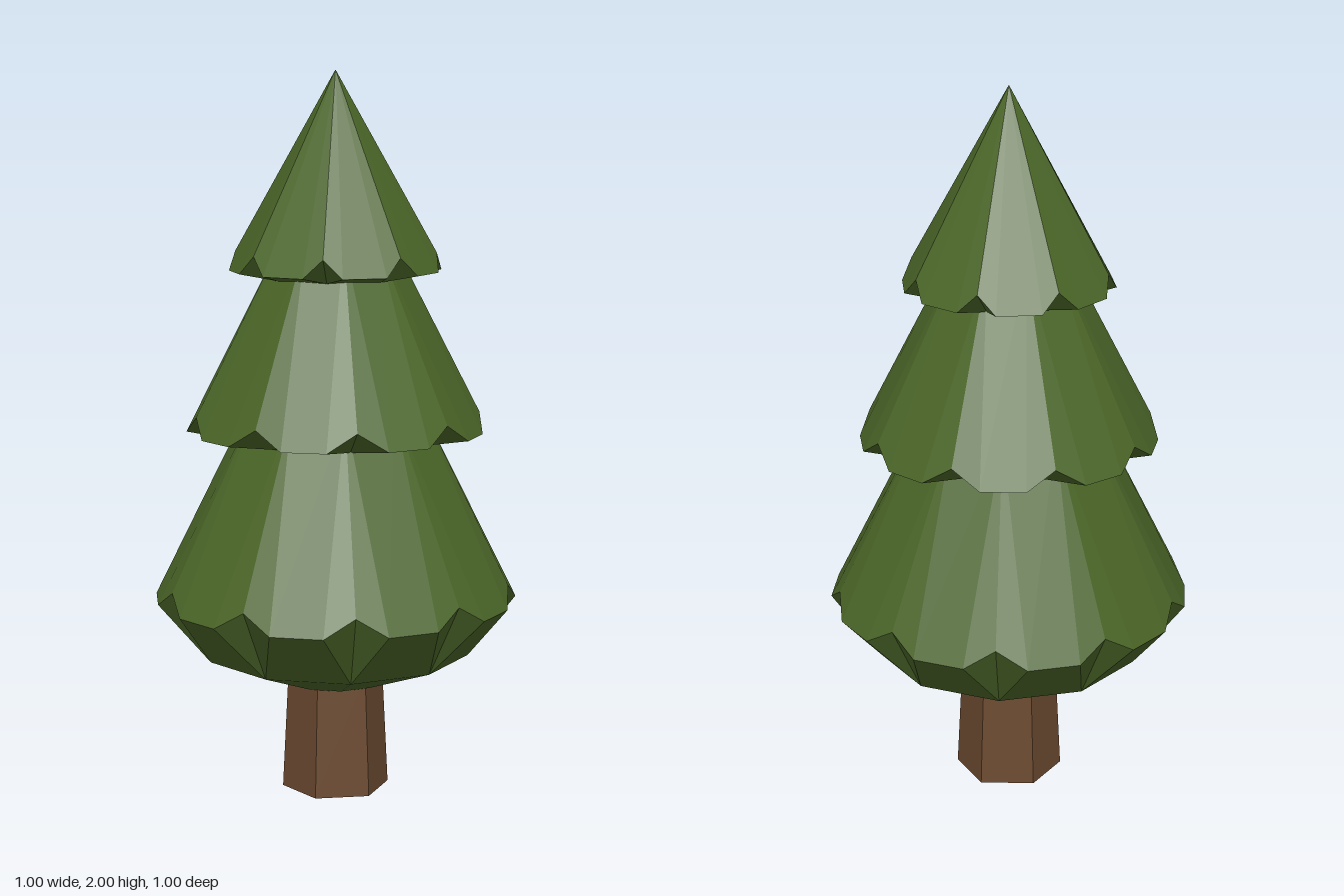
import * as THREE from 'three';

const green = new THREE.MeshStandardMaterial({ color: 0x4b6628, flatShading: true });
const brown = new THREE.MeshStandardMaterial({ color: 0x6b4a30, flatShading: true });

// Point at a compass angle in degrees, measured from the back (-z) towards +x
const polar = (deg, r, y) => {
  const a = THREE.MathUtils.degToRad(deg);
  return [r * Math.sin(a), y, -r * Math.cos(a)];
};

// Faceted cone of n sides; its hem is notched at each ridge and closed underneath by rings.
// top, ridge, low and every ring are [radius, height]; notch is the half angle of a notch.
function tier(name, { n, start = 0, top, ridge, low, notch, rings }) {
  const pos = [];
  const poly = (...p) => {
    for (let k = 1; k < p.length - 1; k++) pos.push(...p[0], ...p[k], ...p[k + 1]);
  };
  const step = 360 / n;
  for (let i = 0; i < n; i++) {
    const a = start + i * step, b = a + step;
    const topA = polar(a, ...top), topB = polar(b, ...top);
    const ridgeA = polar(a, ...ridge), ridgeB = polar(b, ...ridge);
    const lowA = polar(a + notch, ...low), lowB = polar(b - notch, ...low);
    const inA = polar(a, ...rings[0]), inB = polar(b, ...rings[0]);

    // sloping side
    poly(topA, lowB, lowA);
    if (top[0] > 0) poly(topA, topB, lowB);
    poly(topA, lowA, ridgeA);
    poly(topB, ridgeB, lowB);

    // underside of the hem, with its notches
    poly(lowA, lowB, inB, inA);
    poly(ridgeA, lowA, inA);
    poly(lowB, ridgeB, inB);

    // further rings and the closing faces
    for (let k = 1; k < rings.length; k++) {
      poly(polar(a, ...rings[k - 1]), polar(b, ...rings[k - 1]), polar(b, ...rings[k]), polar(a, ...rings[k]));
    }
    const last = rings[rings.length - 1];
    poly(polar(a, ...last), polar(b, ...last), [0, last[1], 0]);
    if (top[0] > 0) poly(topB, topA, [0, top[1], 0]);
  }
  const geo = new THREE.BufferGeometry();
  geo.setAttribute('position', new THREE.Float32BufferAttribute(pos, 3));
  geo.computeVertexNormals();
  const mesh = new THREE.Mesh(geo, green);
  mesh.name = name;
  return mesh;
}

export function createModel() {
  const tree = new THREE.Group();
  tree.name = 'pineTree';

  // Six-sided tapered trunk, corners on the x axis
  const trunkGeo = new THREE.CylinderGeometry(0.133, 0.15, 0.34, 6);
  trunkGeo.rotateY(Math.PI / 2).translate(0, 0.17, 0);
  const trunk = new THREE.Mesh(trunkGeo, brown);
  trunk.name = 'trunk';
  tree.add(trunk);

  // Three foliage tiers, each reaching up inside the one above
  tree.add(
    tier('lowerFoliage', {
      n: 10, start: 14, top: [0.235, 1.1], ridge: [0.485, 0.6], low: [0.503, 0.55], notch: 9.8,
      rings: [[0.375, 0.395], [0.14, 0.308]],
    }),
    tier('middleFoliage', {
      n: 9, top: [0.15, 1.55], ridge: [0.397, 1.07], low: [0.412, 1.02], notch: 11.5,
      rings: [[0.275, 1.0]],
    }),
    tier('topFoliage', {
      n: 8, top: [0, 2], ridge: [0.277, 1.51], low: [0.291, 1.46], notch: 10.5,
      rings: [[0.195, 1.44]],
    }),
  );
  return tree;
}
